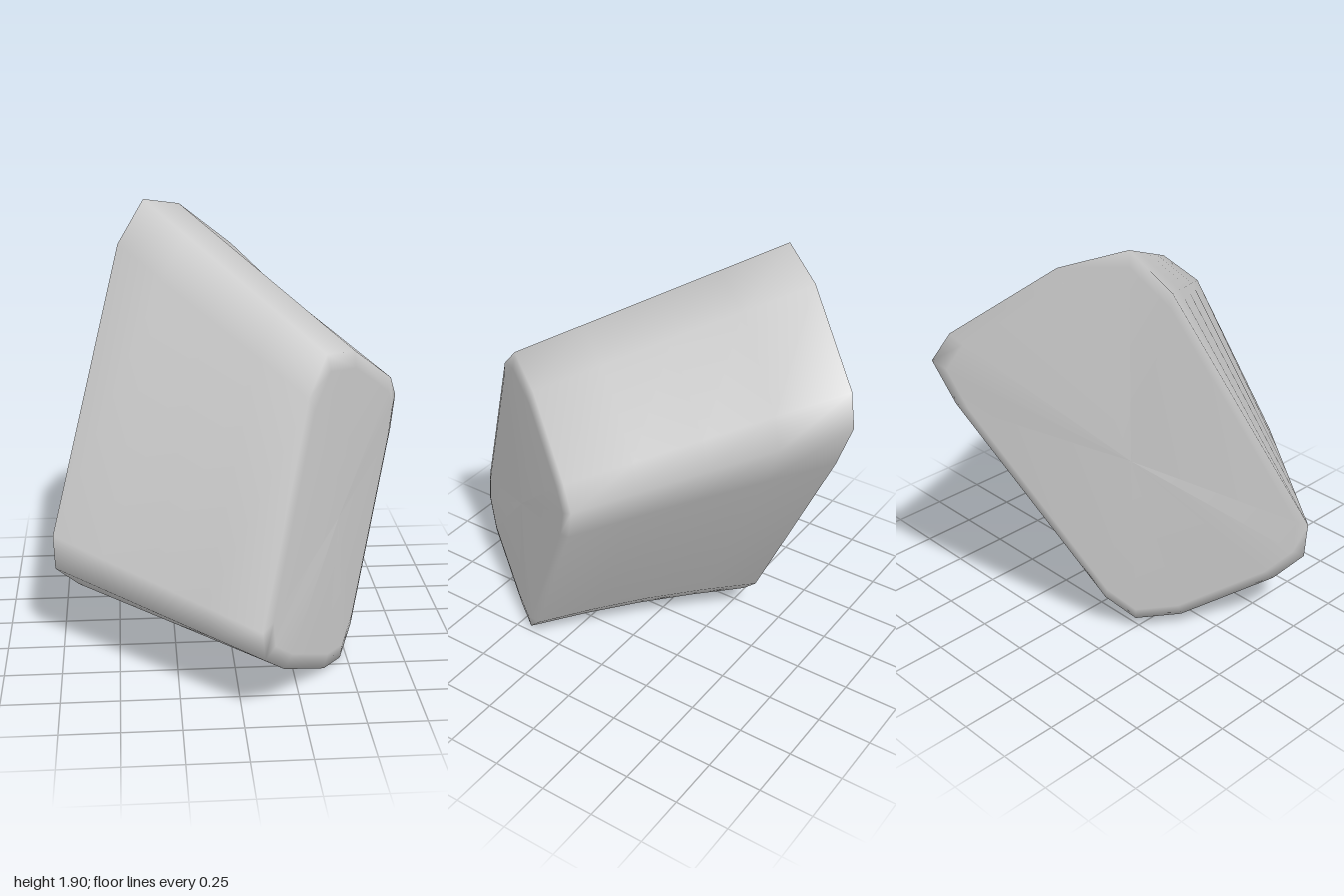
import * as THREE from 'three';

// Matching outlines of the two end faces, [x, y, z] per corner
const frontEnd = [
  [0.37, 1.42, 0.52], [0.52, 1.37, 0.30], [0.74, 1.15, -0.02], [0.775, 1.05, -0.08],
  [0.75, 0.90, -0.04], [0.53, 0.11, 0.34], [0.47, 0.00, 0.44], [0.38, 0.02, 0.57],
  [0.17, 0.20, 0.89], [0.08, 0.30, 1.00], [0.07, 0.42, 1.00], [0.28, 1.28, 0.66],
].map((p) => new THREE.Vector3(...p));
const backEnd = [
  [-0.35, 1.90, -0.40], [-0.18, 1.84, -0.62], [0.09, 1.58, -0.95], [0.15, 1.46, -1.00],
  [0.12, 1.25, -0.92], [-0.19, 0.20, -0.40], [-0.27, 0.07, -0.29], [-0.40, 0.08, -0.13],
  [-0.68, 0.27, 0.17], [-0.775, 0.39, 0.26], [-0.78, 0.55, 0.27], [-0.47, 1.72, -0.28],
].map((p) => new THREE.Vector3(...p));

const centre = (ring) =>
  ring.reduce((sum, p) => sum.add(p), new THREE.Vector3()).divideScalar(ring.length);

// Shrinks an outline towards its centre and pushes it outward to dome the cap
function capRing(ring, scale, push) {
  const c = centre(ring);
  return ring.map((p) => p.clone().sub(c).multiplyScalar(scale).add(c).add(push));
}

export function createModel() {
  const group = new THREE.Group();
  const out = new THREE.Vector3(0.83, 0, 0.55);
  const back = new THREE.Vector3(-0.77, -0.09, -0.63);

  // Cross-section between the ends; the rear lower sides sag slightly inward
  const section = (t) => {
    const ring = frontEnd.map((p, i) => p.clone().lerp(backEnd[i], t));
    const c = centre(ring);
    const sag = 0.025 * Math.sin(Math.PI * t);
    return ring.map((p, i) => (i >= 2 && i <= 7 ? p.lerp(c, sag / p.distanceTo(c)) : p));
  };

  const rows = [
    capRing(frontEnd, 0, out.clone().multiplyScalar(0.018)),
    capRing(frontEnd, 0.9, out.clone().multiplyScalar(0.014)),
    ...[0, 0.25, 0.5, 0.75, 1].map(section),
    capRing(backEnd, 0.93, back.clone().multiplyScalar(0.014)),
    capRing(backEnd, 0, back.clone().multiplyScalar(0.016)),
  ];

  // Join neighbouring rows into one smooth closed skin
  const n = frontEnd.length;
  const index = [];
  for (let r = 0; r < rows.length - 1; r++) {
    for (let i = 0; i < n; i++) {
      const a = r * n + i, b = r * n + ((i + 1) % n);
      if (r > 0) index.push(a, b, a + n);
      if (r < rows.length - 2) index.push(b, b + n, a + n);
    }
  }
  const geometry = new THREE.BufferGeometry().setFromPoints(rows.flat());
  geometry.setIndex(index);
  geometry.computeVertexNormals();

  const rock = new THREE.Mesh(geometry, new THREE.MeshStandardMaterial({ color: 0xcccccc }));
  rock.name = 'rock';
  group.add(rock);
  return group;
}
